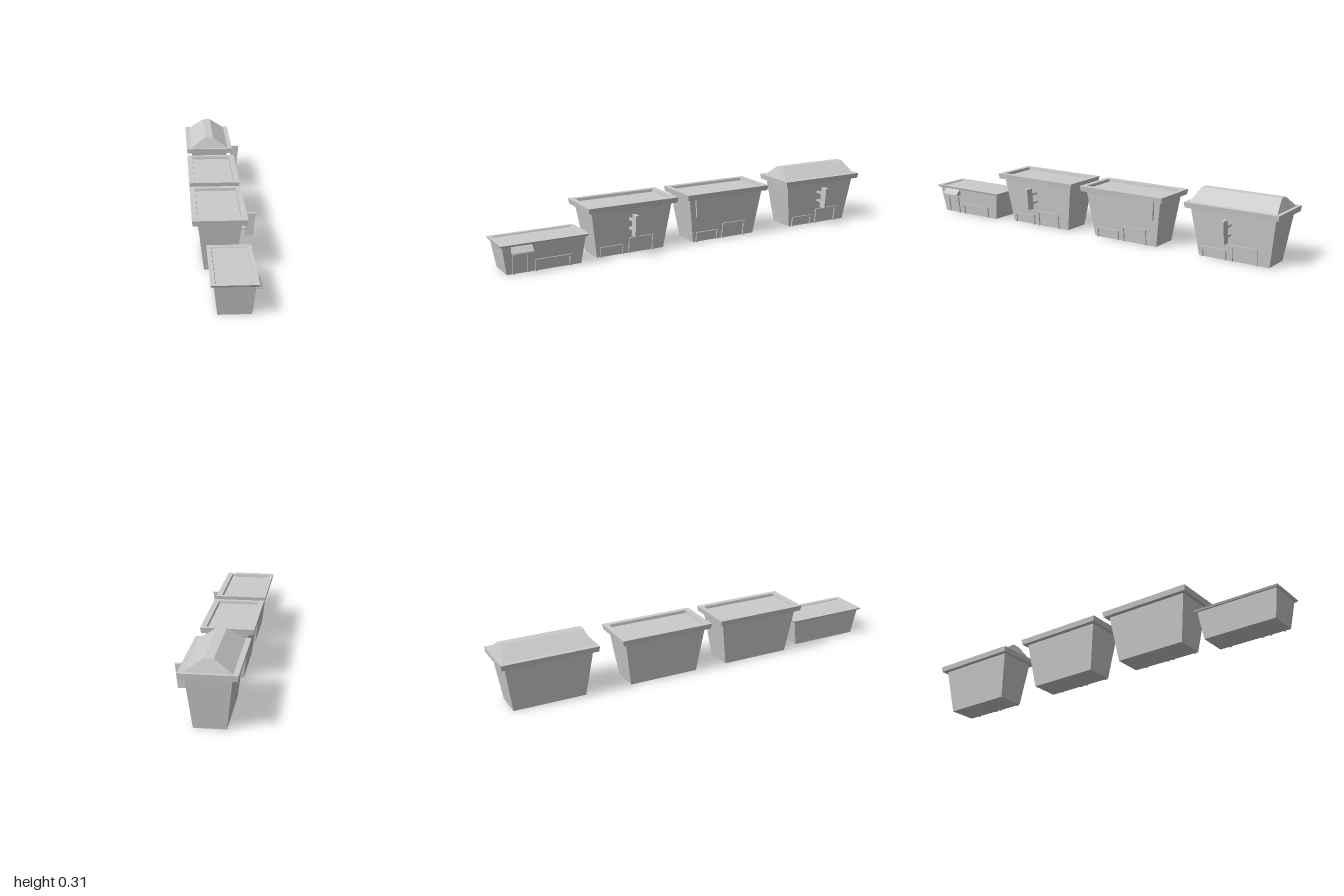
import * as THREE from 'three';

const material = new THREE.MeshStandardMaterial({ color: 0xcccccc, flatShading: true, side: THREE.DoubleSide });

function add(group, name, geometry) {
  geometry.computeVertexNormals();
  const mesh = new THREE.Mesh(geometry, material);
  mesh.name = name;
  group.add(mesh);
  return mesh;
}

// Calls rule(vertex) on every corner of a geometry
function reshape(geometry, rule) {
  const p = geometry.attributes.position;
  const v = new THREE.Vector3();
  for (let i = 0; i < p.count; i++) {
    v.fromBufferAttribute(p, i);
    rule(v);
    p.setXYZ(i, v.x, v.y, v.z);
  }
  return geometry;
}

// Box from y0 to y1 with different widths and depths at the bottom and the top
function taperedBox(y0, y1, w0, d0, w1, d1) {
  return reshape(new THREE.BoxGeometry(1, 1, 1), (v) => {
    const top = v.y > 0;
    v.set(v.x * (top ? w1 : w0), top ? y1 : y0, v.z * (top ? d1 : d0));
  });
}

// Box between two x, y and z limits that leans outward with the wall
function leaningBox(x0, x1, y0, y1, z0, z1, slope, zTaper = 0) {
  return reshape(new THREE.BoxGeometry(1, 1, 1), (v) => {
    const y = v.y > 0 ? y1 : y0;
    const taper = v.y < 0 ? zTaper * Math.sign(v.z) : 0;
    v.set((v.x > 0 ? x1 : x0) + slope * y, y, (v.z > 0 ? z1 : z0) - taper);
  });
}

function rectangle(path, w, d) {
  path.moveTo(-w / 2, -d / 2);
  path.lineTo(w / 2, -d / 2);
  path.lineTo(w / 2, d / 2);
  path.lineTo(-w / 2, d / 2);
  path.closePath();
  return path;
}

// Overhanging roof slab with a raised rim around a sunken deck
function sunkenRoof(group, y0, y1, w, d, rim, deckY) {
  const outline = rectangle(new THREE.Shape(), w, d);
  outline.holes.push(rectangle(new THREE.Path(), w - 2 * rim, d - 2 * rim));
  const frame = new THREE.ExtrudeGeometry(outline, { depth: y1 - y0, bevelEnabled: false });
  frame.rotateX(-Math.PI / 2).translate(0, y0, 0);
  reshape(frame, (v) => {
    if (v.y < (y0 + y1) / 2) v.set(v.x * (1 - 0.008 / w), v.y, v.z * (1 - 0.008 / d));
  });
  add(group, 'roofRim', frame);
  const deck = new THREE.BoxGeometry(w - 2 * rim, deckY - y0, d - 2 * rim);
  add(group, 'roofDeck', deck.translate(0, (y0 + deckY) / 2, 0));
}

// Two posts and a lintel standing slightly proud of the +x wall
function wallFrame(group, name, wallX, slope, z0, z1, height) {
  const t = 0.007, b = 0.009;
  const frame = new THREE.Group();
  frame.name = name;
  for (const z of [z0, z1 - b]) {
    add(frame, 'post', leaningBox(wallX - 0.002, wallX + t, 0, height, z, z + b, slope));
  }
  add(frame, 'lintel', leaningBox(wallX - 0.002, wallX + t, height - b, height, z0 + b, z1 - b, slope));
  group.add(frame);
}

// Upright sign on two short brackets
function hangingSign(group) {
  const z = 0.011;
  add(group, 'signBoard', leaningBox(0.113, 0.153, 0.098, 0.206, z - 0.008, z + 0.008, 0.105));
  for (const y of [0.122, 0.167]) {
    const bracket = new THREE.BoxGeometry(0.045, 0.011, 0.01);
    add(group, 'signBracket', bracket.translate(0.112, y + 0.006, z));
  }
}

const WALL = 0.07, SLOPE = 0.118;

function tallShop(name, z) {
  const shop = new THREE.Group();
  shop.name = name;
  shop.position.set(-0.026, 0, z);
  add(shop, 'walls', taperedBox(0, 0.228, WALL * 2, 0.352, 0.194, 0.42));
  wallFrame(shop, 'doorFrame', WALL, SLOPE, -0.122, 0.012, 0.078);
  wallFrame(shop, 'windowFrame', WALL, SLOPE, 0.035, 0.162, 0.05);
  return shop;
}

function smallShop() {
  const shop = new THREE.Group();
  shop.name = 'smallShop';
  shop.position.set(0.011, 0, 0.788);
  const slope = 0.12;
  add(shop, 'walls', taperedBox(0, 0.135, 0.14, 0.358, 0.172, 0.4));
  sunkenRoof(shop, 0.134, 0.143, 0.198, 0.424, 0.02, 0.137);
  wallFrame(shop, 'doorFrame', 0.07, slope, 0.075, 0.152, 0.092);
  wallFrame(shop, 'windowFrame', 0.07, slope, -0.13, 0.045, 0.055);

  // Wedge awning over the door
  const wedge = new THREE.Shape();
  wedge.moveTo(0.078, 0.134);
  wedge.lineTo(0.086, 0.134);
  wedge.lineTo(0.114, 0.106);
  wedge.lineTo(0.114, 0.101);
  wedge.lineTo(0.078, 0.101);
  const awning = new THREE.ExtrudeGeometry(wedge, { depth: 0.097, bevelEnabled: false });
  add(shop, 'awning', awning.translate(0, 0, 0.061));
  return shop;
}

export function createModel() {
  const row = new THREE.Group();
  row.name = 'shopRow';
  row.add(smallShop());

  // Flat-roofed shop with a hanging sign
  const signShop = tallShop('signShop', 0.337);
  sunkenRoof(signShop, 0.228, 0.254, 0.247, 0.468, 0.026, 0.24);
  hangingSign(signShop);
  row.add(signShop);

  // Flat-roofed shop with a wide board under the eaves
  const boardShop = tallShop('boardShop', -0.184);
  sunkenRoof(boardShop, 0.228, 0.254, 0.247, 0.468, 0.026, 0.24);
  add(boardShop, 'wallBoard', leaningBox(WALL - 0.005, WALL + 0.01, 0.13, 0.228, -0.177, 0.177, SLOPE, 0.008));
  row.add(boardShop);

  // Shop with a hipped roof
  const hipShop = tallShop('hipRoofShop', -0.767);
  add(hipShop, 'eaves', taperedBox(0.228, 0.254, 0.239, 0.46, 0.247, 0.466));
  add(hipShop, 'hipRoof', taperedBox(0.254, 0.31, 0.2, 0.432, 0.041, 0.395));
  hangingSign(hipShop);
  row.add(hipShop);

  return row;
}
